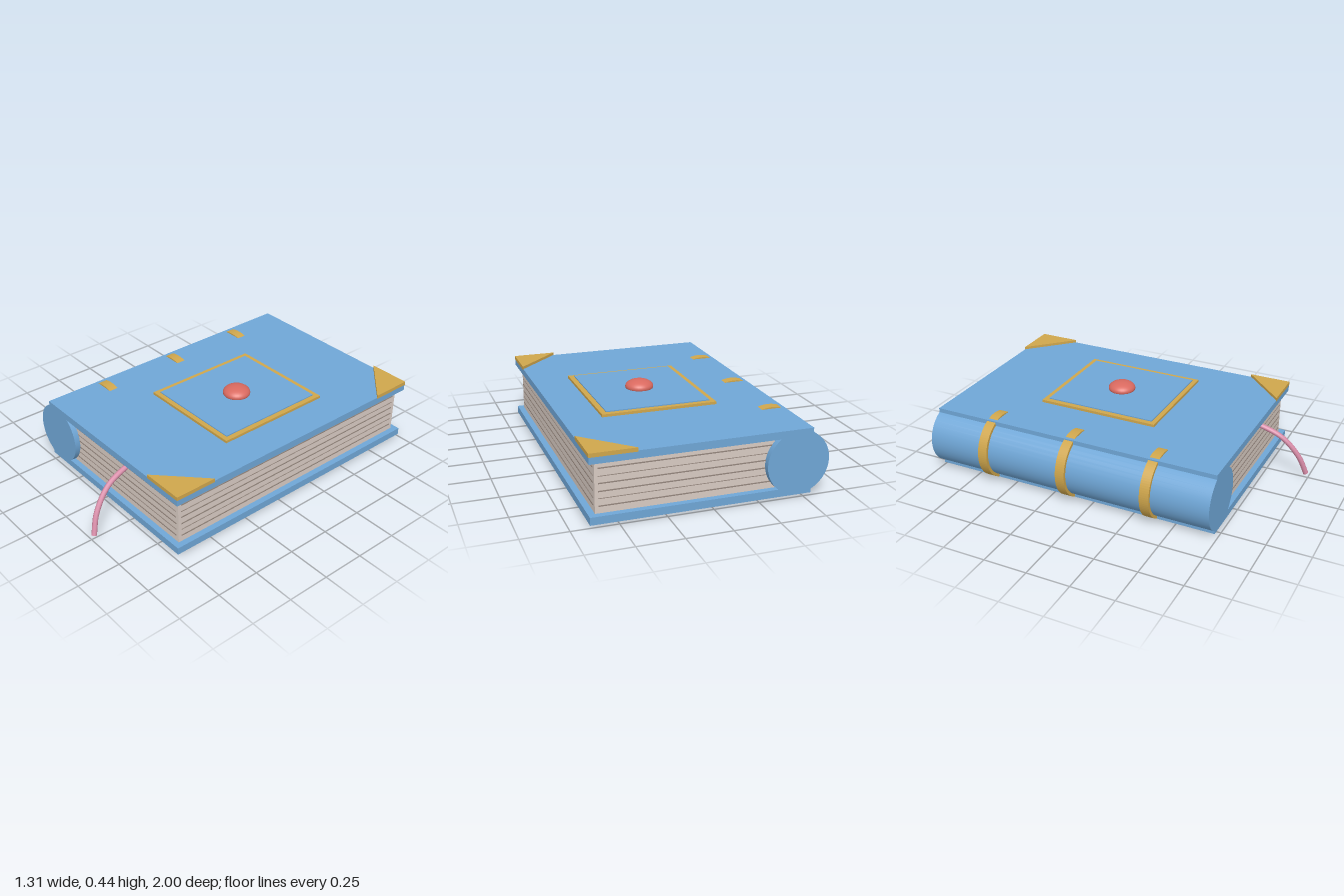
import * as THREE from 'three';

const mat = (name, color) => {
  const m = new THREE.MeshStandardMaterial({ color });
  m.name = name;
  return m;
};

export function createModel() {
  const book = new THREE.Group();
  book.name = 'book';
  const blue = mat('blue cover', 0x6fa6d6);
  const gold = mat('gold trim', 0xcfa64c);
  const paper = mat('paper', 0xd8cbc3);
  const line = mat('page line', 0x95877e);
  const red = mat('red gem', 0xd9695f);
  const pink = mat('pink ribbon', 0xd88ca8);

  const add = (name, geo, material, x = 0, y = 0, z = 0) => {
    const m = new THREE.Mesh(geo, material);
    m.name = name;
    m.position.set(x, y, z);
    book.add(m);
    return m;
  };
  // box given by its lower and upper corners
  const box = (name, material, [x0, y0, z0], [x1, y1, z1]) =>
    add(name, new THREE.BoxGeometry(x1 - x0, y1 - y0, z1 - z0), material,
      (x0 + x1) / 2, (y0 + y1) / 2, (z0 + z1) / 2);

  const back = -1, front = 0.73, midZ = (back + front) / 2;
  const spineX = -0.467, spineY = 0.192;

  // covers and rounded spine
  box('bottomCover', blue, [-0.544, 0.014, back], [0.65, 0.056, front]);
  box('topCover', blue, [-0.544, 0.333, back], [0.65, 0.375, front]);
  const spine = new THREE.CylinderGeometry(0.175, 0.175, front - back, 40);
  spine.rotateX(Math.PI / 2);
  add('spine', spine, blue, spineX, spineY, midZ);

  // page block with thin lines on its three open sides
  box('pages', paper, [-0.45, 0.05, -0.965], [0.615, 0.34, 0.697]);
  for (const y of [0.095, 0.135, 0.173, 0.215, 0.253, 0.295]) {
    const h = [0.135, 0.253].includes(y) ? 0.0015 : 0.003;
    box('frontPageLine', line, [-0.4, y - h, 0.69], [0.597, y + h, 0.7]);
    box('backPageLine', line, [-0.4, y - h, -0.968], [0.597, y + h, -0.96]);
    box('sidePageLine', line, [0.61, y - h, -0.943], [0.618, y + h, 0.678]);
  }

  // flat bands wrapped around the spine
  const a0 = Math.PI * 0.38, a1 = Math.PI * 1.62;
  const arc = new THREE.Shape();
  arc.absarc(0, 0, 0.192, a0, a1, false);
  arc.absarc(0, 0, 0.17, a1, a0, true);
  arc.closePath();
  const band = new THREE.ExtrudeGeometry(arc, { depth: 0.056, bevelEnabled: false, curveSegments: 28 });
  for (const z of [-0.64, -0.14, 0.368]) {
    add('spineBand', band, gold, spineX, spineY, z - 0.028);
  }

  // triangular corner guards, mirrored front to back
  for (const s of [-1, 1]) {
    const z = s < 0 ? back - 0.001 : front + 0.001;
    const tri = new THREE.Shape([
      new THREE.Vector2(0.402, -z),
      new THREE.Vector2(0.652, -z),
      new THREE.Vector2(0.652, -(z - s * 0.247)),
    ]);
    const geo = new THREE.ExtrudeGeometry(tri, { depth: 0.022, bevelEnabled: false });
    geo.rotateX(-Math.PI / 2);
    add(s < 0 ? 'backCorner' : 'frontCorner', geo, gold, 0, 0.369, 0);
  }

  // gold frame plate, raised panel and domed gem
  box('framePlate', gold, [-0.214, 0.37, -0.5], [0.436, 0.39, 0.22]);
  box('framePanel', blue, [-0.184, 0.388, -0.47], [0.406, 0.396, 0.192]);
  const gem = add('gem', new THREE.SphereGeometry(0.08, 32, 20), red, 0.111, 0.405, -0.14);
  gem.scale.y = 0.5;

  // ribbon bookmark drooping from the pages
  const path = new THREE.CatmullRomCurve3([
    [0.18, 0.325, 0.62], [0.186, 0.312, 0.7], [0.2, 0.255, 0.84],
    [0.226, 0.14, 0.94], [0.254, 0.025, 0.985],
  ].map((p) => new THREE.Vector3(...p)));
  add('ribbon', new THREE.TubeGeometry(path, 28, 0.015, 10), pink);
  const tip = add('ribbonEnd', new THREE.CircleGeometry(0.015, 10), pink);
  tip.position.copy(path.getPoint(1));
  tip.lookAt(path.getPoint(1).add(path.getTangent(1)));

  return book;
}
